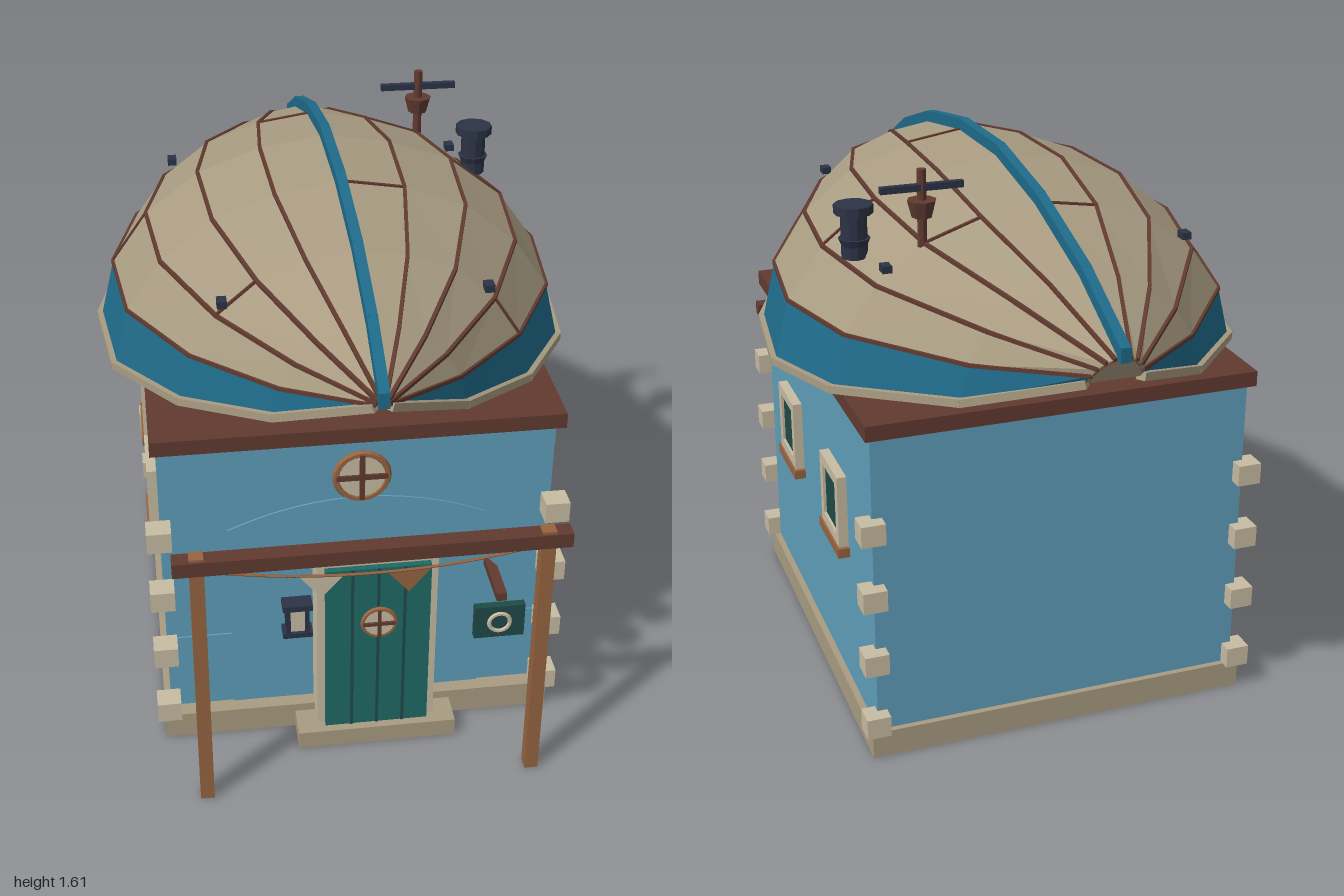
import * as THREE from 'three';

const mat = (name, hex) => {
  const m = new THREE.MeshStandardMaterial({ color: hex, flatShading: true, side: THREE.DoubleSide });
  m.name = name;
  return m;
};

export function createModel() {
  const model = new THREE.Group();
  model.name = 'boatRoofCottage';
  const wall = mat('wallBlue', 0x5f9fba), trim = mat('hullBlue', 0x1f6b8a), hullM = mat('hullTan', 0xa99c82);
  const cream = mat('cream', 0xc8bca2), brown = mat('darkBrown', 0x613a30), wood = mat('wood', 0x976440);
  const green = mat('doorGreen', 0x1f6a64), glass = mat('darkGlass', 0x1f4a47), iron = mat('iron', 0x2c3346);

  const add = (name, geo, m, x = 0, y = 0, z = 0, parent = model) => {
    const o = new THREE.Mesh(geo, m);
    o.name = name;
    o.position.set(x, y, z);
    parent.add(o);
    return o;
  };
  // box given by its min and max on each axis
  const box = (name, m, x0, x1, y0, y1, z0, z1, parent = model) =>
    add(name, new THREE.BoxGeometry(x1 - x0, y1 - y0, z1 - z0), m, (x0 + x1) / 2, (y0 + y1) / 2, (z0 + z1) / 2, parent);
  const cyl = (name, m, rt, rb, y0, y1, x, z, n = 8) =>
    add(name, new THREE.CylinderGeometry(rt, rb, y1 - y0, n), m, x, (y0 + y1) / 2, z);
  // square bar between two points
  const bar = (name, m, a, b, w, h = w) => {
    const o = add(name, new THREE.BoxGeometry(w, h, a.distanceTo(b) + w * 0.3), m);
    o.position.lerpVectors(a, b, 0.5);
    o.lookAt(b);
    return o;
  };

  // walls, base and flat roof
  box('walls', wall, -0.543, 0.543, 0.01, 0.98, -0.62, 0.6);
  box('base', hullM, -0.562, 0.562, 0, 0.08, -0.637, 0.645);
  box('flatRoof', brown, -0.56, 0.56, 0.973, 1.017, -0.643, 0.645);
  box('doorStep', hullM, -0.185, 0.27, 0, 0.055, 0.645, 0.742);
  // raised panels on the front wall
  const arch = new THREE.Shape();
  arch.moveTo(-0.36, 0.08);
  arch.lineTo(0.36, 0.08);
  arch.lineTo(0.36, 0.69);
  arch.quadraticCurveTo(0, 0.85, -0.36, 0.69);
  add('archPanel', new THREE.ExtrudeGeometry(arch, { depth: 0.005, bevelEnabled: false }), wall, 0, 0, 0.6);
  box('upperBoard', wall, -0.543, 0.543, 0.9, 0.973, 0.6, 0.605);

  for (const s of [-1, 1]) {
    box('sideBoard', wall, s * 0.45 - 0.09, s * 0.45 + 0.09, 0.265, 0.33, 0.6, 0.605);
    // corner stones
    for (const z of [0.634, -0.627])
      for (const y of [0.11, 0.31, 0.508, 0.708])
        add('cornerStone', new THREE.BoxGeometry(0.068, 0.062, 0.065), cream, s * 0.549, y, z);
    // side windows
    for (const z of [0.267, -0.263]) {
      const w = new THREE.Group();
      w.name = 'sideWindow';
      w.position.set(s * 0.543, 0, z);
      w.rotation.y = s * Math.PI / 2;
      model.add(w);
      const f = new THREE.Shape([[-0.098, 0.525], [0.098, 0.525], [0.098, 0.742], [-0.098, 0.742]].map(p => new THREE.Vector2(...p)));
      f.holes.push(new THREE.Path([[-0.068, 0.555], [-0.068, 0.712], [0.068, 0.712], [0.068, 0.555]].map(p => new THREE.Vector2(...p))));
      add('windowFrame', new THREE.ExtrudeGeometry(f, { depth: 0.028, bevelEnabled: false }), cream, 0, 0, 0, w);
      box('windowPane', glass, -0.068, 0.068, 0.555, 0.712, 0, 0.02, w);
      box('windowSill', wood, -0.11, 0.11, 0.497, 0.525, 0, 0.034, w);
    }
  }

  // round window with a wooden ring and cross bars
  const roundWindow = (name, x, y, z, r) => {
    const g = new THREE.Group();
    g.name = name;
    g.position.set(x, y, z);
    model.add(g);
    add('ring', new THREE.TorusGeometry(r * 0.88, r * 0.13, 6, 20), wood, 0, 0, 0, g);
    add('pane', new THREE.CylinderGeometry(r * 0.88, r * 0.88, 0.01, 20), cream, 0, 0, 0, g).rotation.x = Math.PI / 2;
    box('crossBar', brown, -r * 0.88, r * 0.88, -r * 0.09, r * 0.09, 0, 0.012, g);
    box('crossBar', brown, -r * 0.09, r * 0.09, -r * 0.88, r * 0.88, 0, 0.012, g);
  };
  roundWindow('gableWindow', 0, 0.882, 0.667, 0.08);
  roundWindow('doorWindow', 0.043, 0.433, 0.733, 0.052);

  // door with frame and plank grooves
  box('doorJamb', cream, -0.127, -0.105, 0.055, 0.62, 0.6, 0.7);
  box('doorJamb', cream, 0.19, 0.212, 0.055, 0.62, 0.6, 0.7);
  box('doorLintel', cream, -0.127, 0.212, 0.608, 0.62, 0.6, 0.7);
  box('door', green, -0.105, 0.19, 0.055, 0.608, 0.62, 0.718);
  for (const x of [-0.03, 0.043, 0.117]) box('doorGroove', glass, x - 0.004, x + 0.004, 0.055, 0.608, 0.717, 0.721);

  // porch posts and beam
  for (const s of [-1, 1]) box('porchPost', wood, s * 0.46 - 0.019, s * 0.46 + 0.019, 0, 0.824, 0.868, 0.905);
  box('porchBeam', brown, -0.523, 0.523, 0.775, 0.817, 0.863, 0.911);

  // bunting hung under the beam
  const sag = x => 0.725 + 0.045 * (x / 0.44) ** 2;
  const rope = [-0.44, -0.22, 0, 0.22, 0.44].map(x => new THREE.Vector3(x, sag(x), 0.888));
  add('buntingRope', new THREE.TubeGeometry(new THREE.CatmullRomCurve3(rope), 16, 0.004, 5), wood);
  [[-0.37, wall], [-0.138, cream], [0.095, wood], [0.36, wall]].forEach(([x, m]) => {
    const tri = [[x - 0.06, sag(x - 0.06)], [x, sag(x) - 0.072], [x + 0.06, sag(x + 0.06)]];
    add('buntingFlag', new THREE.ShapeGeometry(new THREE.Shape(tri.map(p => new THREE.Vector2(...p)))), m, 0, 0, 0.888);
  });

  // wall lantern
  box('lanternTop', iron, -0.228, -0.146, 0.52, 0.537, 0.72, 0.768);
  box('lanternBottom', iron, -0.228, -0.146, 0.43, 0.445, 0.72, 0.768);
  box('lanternGlass', cream, -0.208, -0.166, 0.445, 0.52, 0.73, 0.758);
  for (const x of [-0.213, -0.161])
    for (const z of [0.727, 0.761]) box('lanternBar', iron, x - 0.006, x + 0.006, 0.445, 0.52, z - 0.005, z + 0.005);

  // hanging sign
  box('signBracket', brown, 0.345, 0.373, 0.56, 0.584, 0.675, 0.842);
  box('signBoard', glass, 0.289, 0.428, 0.433, 0.536, 0.815, 0.837);
  add('signRing', new THREE.TorusGeometry(0.029, 0.006, 6, 18), cream, 0.358, 0.484, 0.838);

  // upturned hull: stations are gunwale z, crown z, half width, gunwale y, crown y
  const stations = [
    [0.97, 0.985, 0.02, 1.285, 1.31], [0.79, 0.79, 0.245, 1.165, 1.41], [0.54, 0.54, 0.47, 1.08, 1.49],
    [0.22, 0.22, 0.635, 1.017, 1.54], [-0.1, -0.1, 0.67, 1.008, 1.543], [-0.41, -0.41, 0.585, 1.035, 1.49],
    [-0.73, -0.73, 0.33, 1.09, 1.39], [-0.93, -0.985, 0.075, 1.185, 1.265]];
  // section from gunwale to crown: share of half width, share of height
  const section = [[1, 0], [0.935, 0.325], [0.78, 0.6], [0.55, 0.825], [0.28, 0.945], [0, 1]];
  const at = (i, j, inset = 0) => {
    const [zg, zc, w, yg, yc] = stations[i];
    const [u, t] = section[j <= 5 ? j : 10 - j];
    const k = inset * Math.min(1, w / 0.2);
    return new THREE.Vector3((j <= 5 ? 1 : -1) * u * (w - k), yg + t * (yc - yg - k), zg + t * (zc - zg));
  };
  const shell = (name, m, js, inset = 0) => {
    const v = [];
    for (let i = 0; i < stations.length - 1; i++)
      for (const j of js) {
        const a = at(i, j, inset), b = at(i + 1, j, inset), c = at(i + 1, j + 1, inset), d = at(i, j + 1, inset);
        for (const p of inset ? [a, c, b, a, d, c] : [a, b, c, a, c, d]) v.push(p.x, p.y, p.z);
      }
    const g = new THREE.BufferGeometry();
    g.setAttribute('position', new THREE.Float32BufferAttribute(v, 3));
    g.computeVertexNormals();
    add(name, g, m);
  };
  shell('hullPlanks', hullM, [1, 2, 3, 4, 5, 6, 7, 8]);
  shell('hullBlueStrake', trim, [0, 9]);
  shell('hullInside', brown, [0, 1, 2, 3, 4, 5, 6, 7, 8, 9], 0.022);

  // stern board as a fan across the last station
  const fan = [];
  for (let j = 0; j < 10; j++) {
    const a = at(7, j), b = at(7, j + 1);
    fan.push(0, 1.185, -0.93, b.x, b.y, b.z, a.x, a.y, a.z);
  }
  const sternGeo = new THREE.BufferGeometry();
  sternGeo.setAttribute('position', new THREE.Float32BufferAttribute(fan, 3));
  sternGeo.computeVertexNormals();
  add('sternBoard', sternGeo, hullM);

  // gunwale rim, plank seams and keel
  for (let i = 0; i < stations.length - 1; i++) {
    for (const j of [0, 10]) bar('gunwale', hullM, at(i, j), at(i + 1, j), 0.026, 0.022);
    for (const j of [1, 2, 3, 4, 6, 7, 8, 9]) bar('plankSeam', brown, at(i, j), at(i + 1, j), 0.01);
    const up = new THREE.Vector3(0, 0.01, 0);
    bar('keel', trim, at(i, 5).add(up), at(i + 1, 5).add(up), 0.028, 0.042);
  }
  box('keelBowEnd', trim, -0.014, 0.014, 1.295, 1.335, 0.965, 1);
  box('keelSternEnd', trim, -0.014, 0.014, 1.255, 1.295, -1, -0.965);
  // butt joints: station, plank
  for (const [i, j] of [[3, 4], [5, 5], [4, 2], [2, 7], [4, 8], [2, 1], [5, 3]])
    bar('buttJoint', brown, at(i, j), at(i, j + 1), 0.009);

  // small iron cleats
  for (const s of [-1, 1]) {
    add('cleat', new THREE.BoxGeometry(0.026, 0.02, 0.036), iron, s * 0.35, 1.362, 0.54);
    add('cleat', new THREE.BoxGeometry(0.026, 0.02, 0.036), iron, s * 0.43, 1.356, -0.415);
  }

  // stove pipe
  cyl('stovePipe', iron, 0.036, 0.036, 1.34, 1.47, 0.47, -0.253, 10);
  cyl('stovePipeCollar', iron, 0.044, 0.036, 1.375, 1.395, 0.47, -0.253, 10);
  cyl('stovePipeCap', iron, 0.054, 0.054, 1.464, 1.488, 0.47, -0.253, 10);

  // short mast with a bucket and cross bar
  cyl('mast', brown, 0.013, 0.013, 1.4, 1.61, 0.325, -0.403);
  cyl('mastBucket', brown, 0.04, 0.028, 1.482, 1.528, 0.325, -0.403);
  box('mastCrossBar', iron, 0.212, 0.438, 1.553, 1.571, -0.414, -0.396);

  return model;
}
